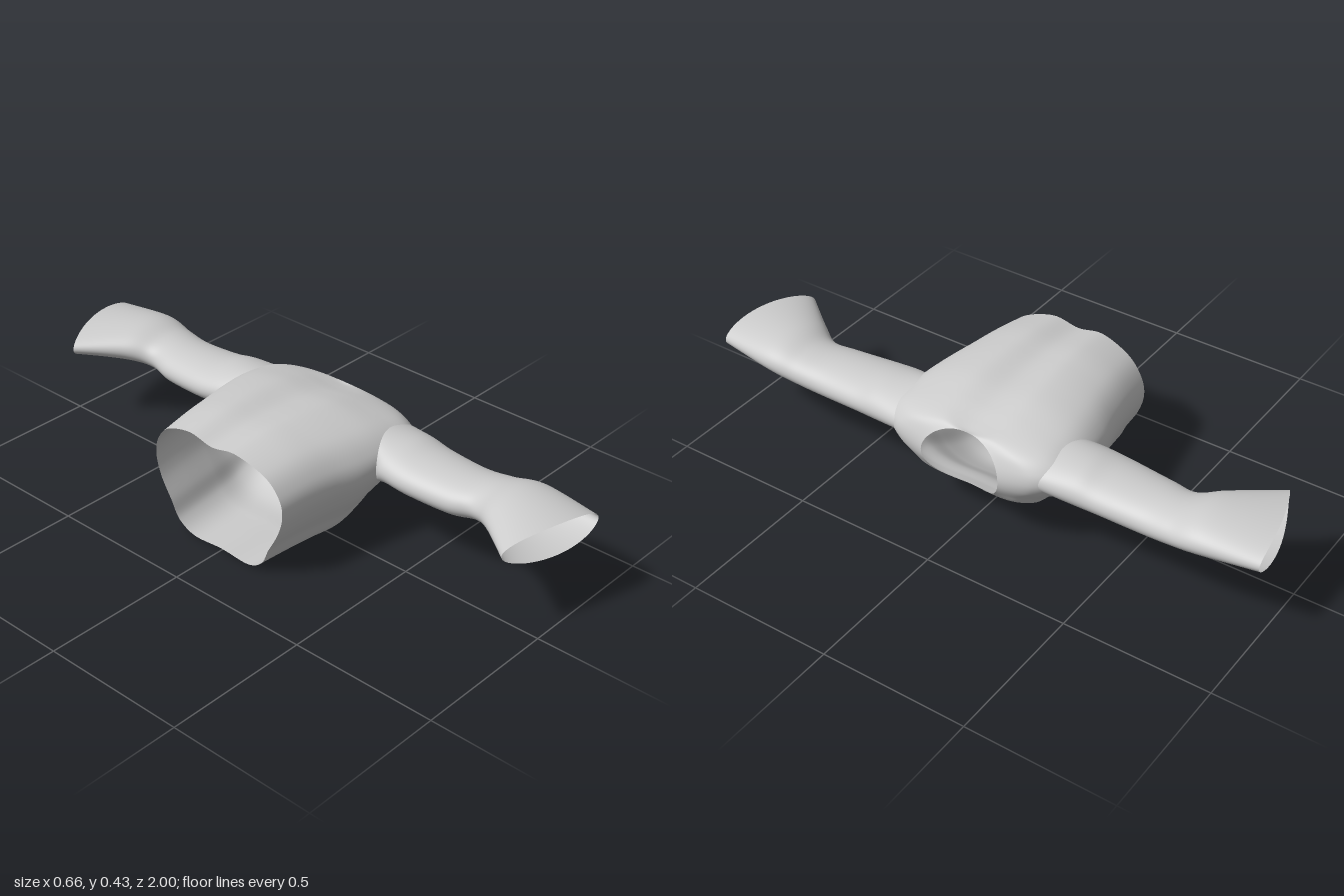
import * as THREE from 'three';

const material = new THREE.MeshStandardMaterial({ color: 0xcccccc, side: THREE.DoubleSide });

// Half cross-section of the body, bottom to top: [width factor, height factor]
const PROFILE = [[0, 0.01], [0.42, 0.0], [0.66, 0.09], [0.78, 0.25], [0.93, 0.44],
  [1, 0.62], [0.95, 0.78], [0.75, 0.93], [0.35, 1.02], [0, 0.985]];
const HALF = PROFILE.length - 1;

// Body stations, hem to neck: x at bottom, top and sides, half width, y low, y high, roundness
const BODY = [
  [-0.302, -0.335, -0.313, 0.270, 0.002, 0.400, 0],
  [-0.2, -0.2, -0.2, 0.285, 0.003, 0.416, 0],
  [-0.1, -0.1, -0.1, 0.302, 0.004, 0.418, 0],
  [0, 0, 0, 0.325, 0.008, 0.414, 0],
  [0.09, 0.09, 0.09, 0.335, 0.05, 0.406, 0],
  [0.17, 0.17, 0.17, 0.335, 0.105, 0.39, 0],
  [0.23, 0.235, 0.25, 0.325, 0.128, 0.372, 0],
  [0.258, 0.272, 0.308, 0.255, 0.14, 0.362, 0.2],
  [0.268, 0.287, 0.33, 0.145, 0.145, 0.36, 0.85],
];

// Sleeve stations, shoulder to cuff: z at rear edge, z at front edge, x min, x max, y low, y high
const SLEEVE = [
  [0.36, 0.38, 0.038, 0.288, 0.205, 0.348],
  [0.45, 0.46, 0.035, 0.281, 0.203, 0.335],
  [0.6, 0.6, 0.048, 0.275, 0.2, 0.328],
  [0.69, 0.7, 0.064, 0.282, 0.212, 0.335],
  [0.77, 0.81, 0.02, 0.291, 0.226, 0.357],
  [0.91, 1.0, -0.088, 0.266, 0.24, 0.349],
];

// Armhole: an ellipse in (station, profile) coordinates
const ARMHOLE = { s: 5.15, v: 5.15, ds: 1.65, dv: 1.5 };

// Smooth interpolation through a list of rows
function sample(rows, t) {
  const n = rows.length - 1;
  const i = Math.min(Math.floor(t), n - 1), f = t - i;
  const [a, b, c, d] = [i - 1, i, i + 1, i + 2].map(k => rows[Math.max(0, Math.min(n, k))]);
  return b.map((_, k) => b[k] + 0.5 * f * (c[k] - a[k]
    + f * (2 * a[k] - 5 * b[k] + 4 * c[k] - d[k] + f * (3 * (b[k] - c[k]) + d[k] - a[k]))));
}

const LOOP = [...PROFILE, ...PROFILE.slice(1, -1).reverse().map(([u, t]) => [-u, t])];
const CLOSED = [LOOP[LOOP.length - 1], ...LOOP, LOOP[0], LOOP[1]];

// Point on the body: s runs hem to neck, v runs around the section
function bodyPoint(s, v) {
  const [xb, xt, xs, w, y0, y1, round] = sample(BODY, s);
  const [pu, pt] = sample(CLOSED, v + 1);
  const a = Math.PI * v / HALF;
  const u = THREE.MathUtils.lerp(pu, Math.sin(a), round);
  const t = THREE.MathUtils.lerp(pt, 0.5 - 0.5 * Math.cos(a), round);
  const xm = THREE.MathUtils.lerp(xb, xt, t);
  return new THREE.Vector3(xm + (xs - xm) * Math.min(1, u * u), y0 + (y1 - y0) * t, w * u);
}

// Grid surface, closed in one direction; skip(i, j) leaves a hole
function gridMesh(name, rings, around, pointAt, flip, skip = () => false) {
  const pos = [], index = [];
  for (let i = 0; i <= rings; i++)
    for (let j = 0; j < around; j++) pos.push(...pointAt(i, j).toArray());
  for (let i = 0; i < rings; i++)
    for (let j = 0; j < around; j++) {
      if (skip(i, j)) continue;
      const k = (j + 1) % around;
      const a = i * around + j, b = a + around, c = (i + 1) * around + k, d = i * around + k;
      if (flip) index.push(a, d, c, a, c, b);
      else index.push(a, b, c, a, c, d);
    }
  const geometry = new THREE.BufferGeometry();
  geometry.setAttribute('position', new THREE.Float32BufferAttribute(pos, 3));
  geometry.setIndex(index);
  geometry.computeVertexNormals();
  const mesh = new THREE.Mesh(geometry, material);
  mesh.name = name;
  return mesh;
}

function makeBody() {
  const rings = 112, around = 144;
  const sAt = i => i / rings * (BODY.length - 1);
  const vAt = j => j / around * 2 * HALF;
  const inside = (i, j) => {
    const v = vAt(j), side = v > HALF ? 2 * HALF - v : v;
    return Math.hypot((sAt(i) - ARMHOLE.s) / ARMHOLE.ds, (side - ARMHOLE.v) / ARMHOLE.dv) < 1;
  };
  return gridMesh('shirtBody', rings, around, (i, j) => bodyPoint(sAt(i), vAt(j)), false,
    (i, j) => inside(i, j) && inside(i + 1, j) && inside(i, j + 1) && inside(i + 1, j + 1));
}

function makeSleeve(name) {
  const rings = 60, around = 72, columns = [];
  for (let j = 0; j < around; j++) {
    const a = j / around * Math.PI * 2, c = Math.cos(a), q = Math.sin(a);
    // the first ring lies on the armhole edge
    const rows = [bodyPoint(ARMHOLE.s + ARMHOLE.ds * c, ARMHOLE.v + ARMHOLE.dv * q).toArray()];
    for (const [z0, z1, x0, x1, y0, y1] of SLEEVE) {
      const u = (1 + c) / 2;
      rows.push([x0 + (x1 - x0) * u, (y0 + y1) / 2 + (y1 - y0) / 2 * q,
        z0 + (z1 - z0) * (1 - (1 - u) ** 2)]);
    }
    columns.push(rows);
  }
  return gridMesh(name, rings, around,
    (i, j) => new THREE.Vector3(...sample(columns[j], i / rings * SLEEVE.length)), true);
}

export function createModel() {
  const model = new THREE.Group();
  model.name = 'shirt';
  const frontSleeve = makeSleeve('frontSleeve');
  const backSleeve = makeSleeve('backSleeve');
  backSleeve.scale.z = -1;
  model.add(makeBody(), frontSleeve, backSleeve);
  return model;
}
